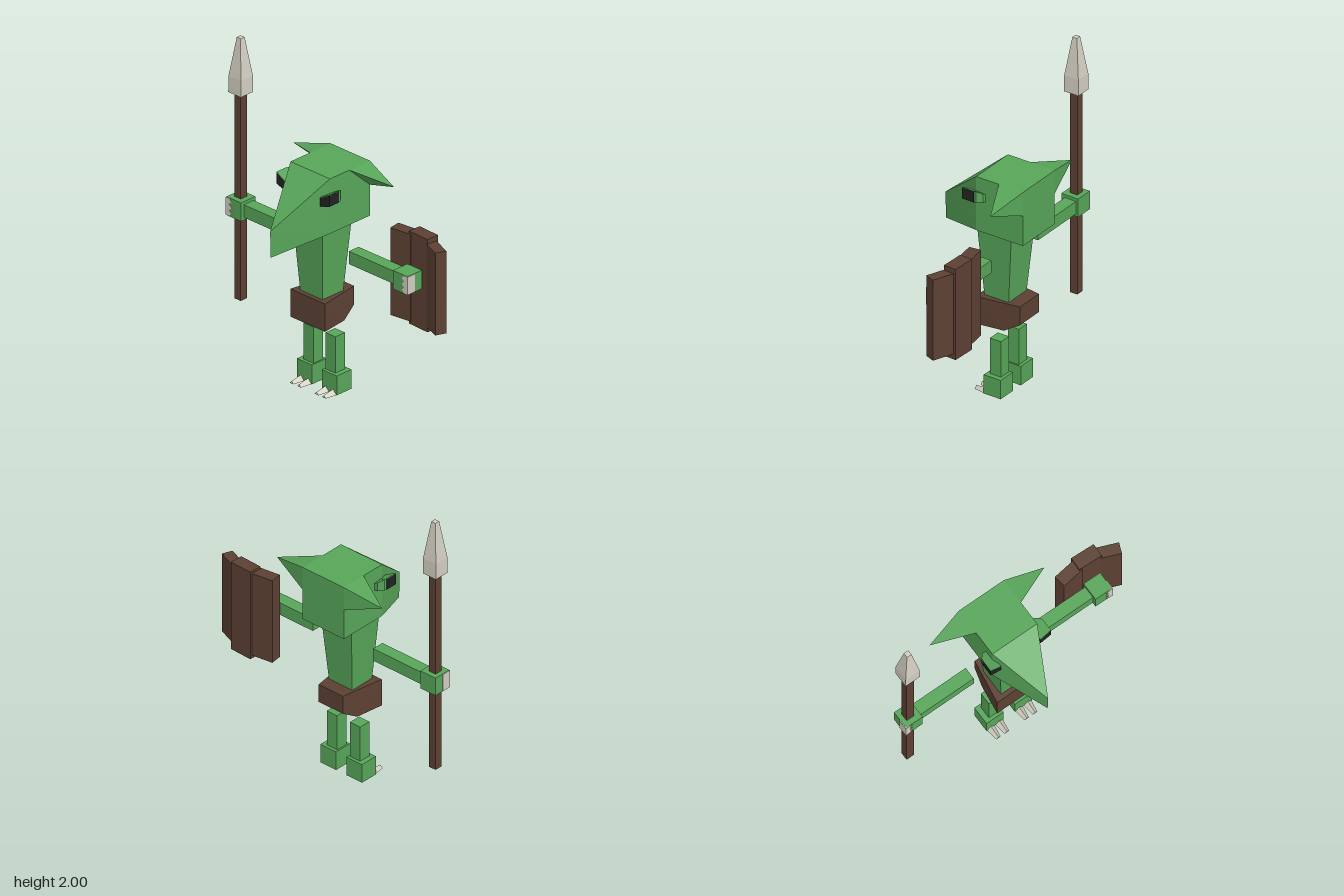
import * as THREE from 'three';
import { ConvexGeometry } from 'three/addons/geometries/ConvexGeometry.js';

const mat = (name, color, side = THREE.FrontSide) => {
  const m = new THREE.MeshStandardMaterial({ color, side });
  m.name = name;
  return m;
};

export function createModel() {
  const green = mat('green skin', 0x57a559);
  const brown = mat('brown wood', 0x5c4033);
  const bone = mat('pale bone', 0xd2cdc0);
  const black = mat('black eye', 0x222222);

  const model = new THREE.Group();
  model.name = 'spearCreature';
  const body = new THREE.Group();
  body.name = 'body';
  body.position.x = -0.08;
  model.add(body);

  const add = (parent, name, geometry, material) => {
    const mesh = new THREE.Mesh(geometry, material);
    mesh.name = name;
    parent.add(mesh);
    return mesh;
  };
  // Box given by its min and max on each axis
  const box = (parent, name, material, [x0, x1], [y0, y1], [z0, z1]) => {
    const mesh = add(parent, name, new THREE.BoxGeometry(Math.abs(x1 - x0), y1 - y0, z1 - z0), material);
    mesh.position.set((x0 + x1) / 2, (y0 + y1) / 2, (z0 + z1) / 2);
    return mesh;
  };
  // Faceted convex solid; side = -1 mirrors it
  const hull = (parent, name, material, points, side = 1) =>
    add(parent, name, new ConvexGeometry(points.map(([x, y, z]) => new THREE.Vector3(x * side, y, z))), material);
  // Horizontal rectangle as four corners
  const ring = (w, y, z0, z1, w0 = w) => [[-w0, y, z0], [w0, y, z0], [w, y, z1], [-w, y, z1]];

  // Head and pointed snout
  box(body, 'head', green, [-0.16, 0.16], [1.065, 1.42], [-0.33, 0]);
  hull(body, 'snout', green, [
    [-0.16, 1.42, 0], [0.16, 1.42, 0], [-0.16, 1.065, 0], [0.16, 1.065, 0],
    [0, 1.14, 0.33], [0, 0.97, 0.325],
  ]);

  // Torso and loincloth
  hull(body, 'torso', green, [...ring(0.09, 0.6, -0.18, -0.01), ...ring(0.12, 1.07, -0.22, 0.022)]);
  hull(body, 'loincloth', brown, [
    ...ring(0.14, 0.61, -0.265, 0.02, 0.095),
    ...ring(0.095, 0.49, -0.265, -0.265),
    ...ring(0.14, 0.43, -0.165, 0.02, 0.115),
  ]);

  for (const s of [-1, 1]) {
    const label = s > 0 ? 'left' : 'right';

    // Ear
    hull(body, label + 'Ear', green,
      [[0.16, 1.42, -0.33], [0.16, 1.42, -0.16], [0.16, 1.265, -0.33], [0.41, 1.357, -0.275]], s);

    // Eye with a lid on top and a socket behind
    const slice = (z, xo, yi0, yi1, yo0, yo1) =>
      [[0.14, yi0, z], [0.14, yi1, z], [xo, yo0, z], [xo, yo1, z]];
    hull(body, label + 'Eye', black,
      [...slice(0.06, 0.215, 1.255, 1.31, 1.28, 1.35), ...slice(-0.02, 0.215, 1.255, 1.31, 1.28, 1.35)], s);
    hull(body, label + 'Eyelid', green,
      [...slice(0.06, 0.215, 1.31, 1.315, 1.351, 1.356), ...slice(-0.02, 0.215, 1.31, 1.315, 1.351, 1.356)], s);
    hull(body, label + 'EyeSocket', green,
      [...slice(-0.02, 0.212, 1.258, 1.313, 1.28, 1.354), ...slice(-0.035, 0.212, 1.258, 1.313, 1.28, 1.354),
        ...slice(-0.065, 0.185, 1.265, 1.31, 1.28, 1.335)], s);

    // Arm and hand
    box(body, label + 'Arm', green, [s * 0.235, s * 0.63], [0.867, 0.95], [-0.16, -0.08]);
    box(body, label + 'Hand', green, [s * 0.617, s * 0.735], [0.85, 0.97], [-0.175, -0.056]);

    // Hand claws wrap the outer front edge and end in three points
    box(body, label + 'HandClawSide', bone, [s * 0.734, s * 0.739], [0.853, 0.968], [-0.115, -0.054]);
    const claws = new THREE.Shape([[0.739, 0.968], [0.739, 0.853]].map(([x, y]) => new THREE.Vector2(s * x, y)));
    for (let i = 0; i < 3; i++) {
      const y = 0.853 + i * 0.0383;
      claws.lineTo(s * 0.712, y);
      claws.lineTo(s * 0.69, y + 0.019);
      claws.lineTo(s * 0.712, y + 0.0383);
    }
    const front = add(body, label + 'HandClaws', new THREE.ExtrudeGeometry(claws, { depth: 0.004, bevelEnabled: false }), bone);
    front.position.z = -0.057;

    // Leg and foot
    box(body, label + 'Leg', green, [s * 0.05, s * 0.13], [0.12, 0.36], [-0.155, -0.076]);
    box(body, label + 'Foot', green, [s * 0.04, s * 0.162], [0, 0.125], [-0.175, -0.055]);

    // Toe claws
    for (const x of [0.071, 0.131]) {
      hull(body, label + 'ToeClaw', bone, [
        [x - 0.027, 0, -0.056], [x + 0.027, 0, -0.056], [x, 0.03, -0.056],
        [x - 0.016, 0, 0.02], [x + 0.016, 0, 0.02], [x, 0.016, 0.02],
      ], s);
    }
  }

  // Spear
  const spear = new THREE.Group();
  spear.name = 'spear';
  spear.position.set(-0.76, 0, -0.117);
  model.add(spear);
  box(spear, 'spearShaft', brown, [-0.026, 0.026], [0.31, 1.66], [-0.026, 0.026]);
  hull(spear, 'spearHead', bone, [
    ...ring(0.051, 1.645, -0.051, 0.051),
    ...ring(0.05, 1.75, -0.05, 0.05),
    ...ring(0.016, 2, -0.016, 0.016),
  ]);

  // Shield of three planks: x, z, width, thickness, bottom, top, turn
  const shield = new THREE.Group();
  shield.name = 'shield';
  model.add(shield);
  for (const [x, z, w, d, y0, y1, turn] of [
    [0.465, -0.223, 0.145, 0.078, 0.59, 1.155, 0.14],
    [0.605, -0.24, 0.156, 0.085, 0.57, 1.17, -0.04],
    [0.738, -0.206, 0.142, 0.07, 0.605, 1.138, -0.38],
  ]) {
    const plank = add(shield, 'shieldPlank', new THREE.BoxGeometry(w, y1 - y0, d), brown);
    plank.position.set(x, (y0 + y1) / 2, z);
    plank.rotation.y = turn;
  }

  return model;
}
